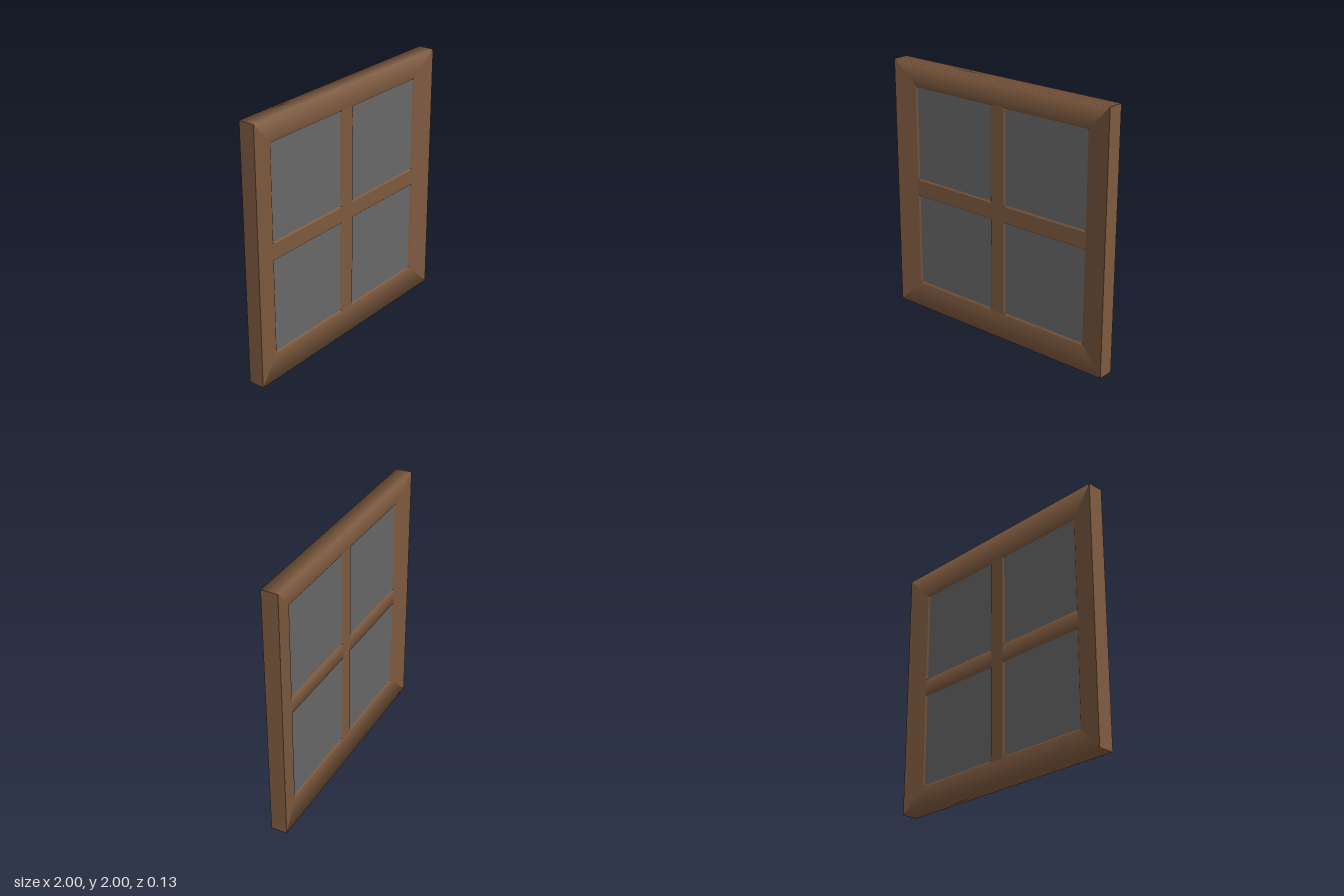
import * as THREE from 'three';

const Z = 0.063;      // half depth at the outer edge
const ZI = 0.03;      // half depth at the opening and of the glazing bars
const ZG = 0.021;     // half depth of the glass
const RAIL = 0.186;   // width of the outer frame's sloping face
const BAR = 0.06;     // half width of a glazing bar's face
const BEVEL = 0.012;

const wood = new THREE.MeshStandardMaterial({ color: 0x7e5a3f });
wood.name = 'brown wood';
const glass = new THREE.MeshStandardMaterial({ color: 0x686868 });
glass.name = 'grey glass';

// Sweeps profile segments [d0, z0, n0, d1, z1, n1] between two ends.
// place(d, z, end) gives a point; across is the unit direction of growing d.
function sweep(name, segments, place, across) {
  const pos = [], nor = [];
  const toNormal = ([d, z]) => across.clone().multiplyScalar(d).add(new THREE.Vector3(0, 0, z)).normalize();
  for (const [d0, z0, n0, d1, z1, n1] of segments) {
    const p = [place(d0, z0, 0), place(d0, z0, 1), place(d1, z1, 1), place(d1, z1, 0)];
    const a = toNormal(n0), b = toNormal(n1), n = [a, a, b, b];
    const face = p[1].clone().sub(p[0]).cross(p[2].clone().sub(p[0]));
    const order = face.dot(a.clone().add(b)) > 0 ? [0, 1, 2, 0, 2, 3] : [0, 2, 1, 0, 3, 2];
    for (const i of order) {
      pos.push(...p[i].toArray());
      nor.push(...n[i].toArray());
    }
  }
  const g = new THREE.BufferGeometry();
  g.setAttribute('position', new THREE.Float32BufferAttribute(pos, 3));
  g.setAttribute('normal', new THREE.Float32BufferAttribute(nor, 3));
  const mesh = new THREE.Mesh(g, wood);
  mesh.name = name;
  return mesh;
}

// Profile of an outer frame member: both faces slope in towards the opening.
// d runs from the outer edge; soft smooths the shading over that edge.
function frameProfile(soft) {
  const edge = (s) => (soft ? [-0.6, 0.8 * s] : [-1, 0]);
  const list = [[0, -Z, edge(-1), 0, Z, edge(1)]];
  for (const s of [1, -1]) {
    const slope = [Z - ZI, s * RAIL];
    list.push([0, s * Z, soft ? edge(s) : slope, RAIL, s * ZI, slope]);
    list.push([RAIL, s * ZI, [0.6, s], RAIL + BEVEL, s * ZG, [0.6, s]]);
  }
  return list;
}

// Profile of a glazing bar, symmetric about d = 0; soft rounds the back shading
function barProfile(soft) {
  const t = soft ? 0.45 : 0;
  const list = [
    [-BAR, ZI, [0, 1], BAR, ZI, [0, 1]],
    [-BAR, -ZI, [-t, -1], BAR, -ZI, [t, -1]],
  ];
  for (const s of [1, -1]) {
    for (const f of [1, -1]) list.push([s * BAR, f * ZI, [0.6 * s, f], s * (BAR + BEVEL), f * ZG, [0.6 * s, f]]);
  }
  return list;
}

export function createModel() {
  const window = new THREE.Group();
  window.name = 'window';

  // Mitred outer frame
  for (const s of [1, -1]) {
    window.add(sweep(s > 0 ? 'topRail' : 'bottomRail', frameProfile(true),
      (d, z, e) => new THREE.Vector3((e ? 1 : -1) * (1 - d), 1 + s * (1 - d), z),
      new THREE.Vector3(0, -s, 0)));
    window.add(sweep(s > 0 ? 'leftStile' : 'rightStile', frameProfile(false),
      (d, z, e) => new THREE.Vector3(s * (1 - d), 1 + (e ? 1 : -1) * (1 - d), z),
      new THREE.Vector3(-s, 0, 0)));
  }

  // Glazing bars: one upright, two half crossbars
  const reach = 1 - RAIL;
  window.add(sweep('uprightBar', barProfile(false),
    (d, z, e) => new THREE.Vector3(d, 1 + (e ? reach : -reach), z),
    new THREE.Vector3(1, 0, 0)));
  for (const s of [1, -1]) {
    window.add(sweep(s > 0 ? 'leftCrossbar' : 'rightCrossbar', barProfile(true),
      (d, z, e) => new THREE.Vector3(s * (e ? reach : BAR), 1 + d, z),
      new THREE.Vector3(0, 1, 0)));
  }

  // Four glass panes between the bevels
  const lo = BAR + BEVEL, hi = reach - BEVEL, size = hi - lo, mid = (hi + lo) / 2;
  const paneGeometry = new THREE.BoxGeometry(size, size, 2 * ZG);
  for (const sx of [1, -1]) {
    for (const sy of [1, -1]) {
      const pane = new THREE.Mesh(paneGeometry, glass);
      pane.name = (sy > 0 ? 'upper' : 'lower') + (sx > 0 ? 'Left' : 'Right') + 'Pane';
      pane.position.set(sx * mid, 1 + sy * mid, 0);
      window.add(pane);
    }
  }
  return window;
}
